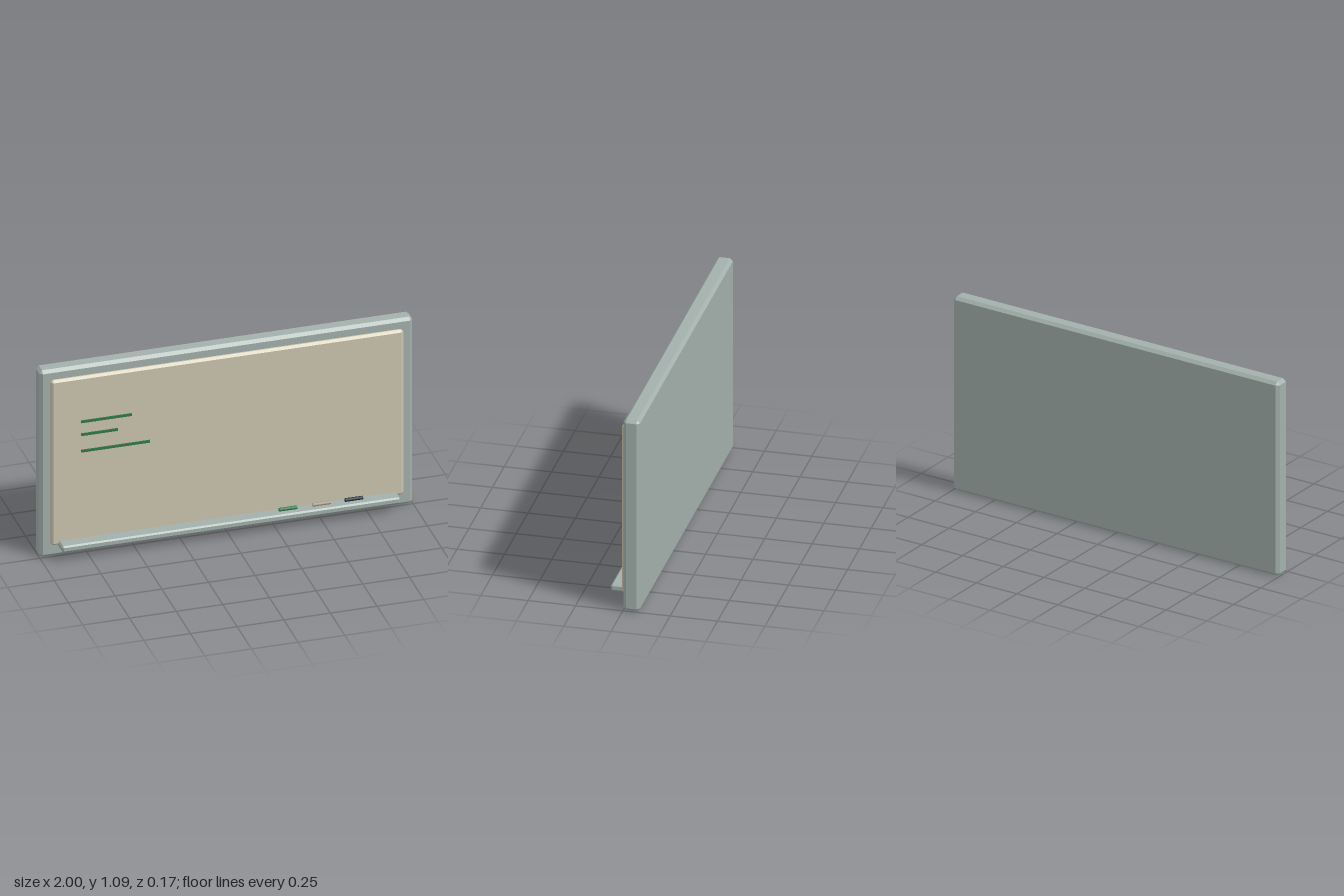
import * as THREE from 'three';
import { ConvexGeometry } from 'three/addons/geometries/ConvexGeometry.js';

// Box with every edge cut off at 45 degrees, given by its min and max corners
function chamferBox([x0, y0, z0], [x1, y1, z1], c) {
  const half = [(x1 - x0) / 2, (y1 - y0) / 2, (z1 - z0) / 2];
  const points = [];
  for (const sx of [-1, 1]) for (const sy of [-1, 1]) for (const sz of [-1, 1]) {
    for (let axis = 0; axis < 3; axis++) {
      // one point per face meeting at this corner
      const p = half.map((h, i) => (i === axis ? h : h - c));
      points.push(new THREE.Vector3(p[0] * sx, p[1] * sy, p[2] * sz));
    }
  }
  const geometry = new ConvexGeometry(points);
  geometry.translate((x0 + x1) / 2, (y0 + y1) / 2, (z0 + z1) / 2);
  return geometry;
}

export function createModel() {
  const group = new THREE.Group();
  const material = (name, color) => {
    const m = new THREE.MeshStandardMaterial({ color });
    m.name = name;
    return m;
  };
  const metal = material('greyMetal', 0xa3b0ac);
  const cream = material('creamSurface', 0xcbc4ae);
  const green = material('greenInk', 0x2f7a4b);
  const tan = material('tanMarker', 0xa89c84);
  const dark = material('darkMarker', 0x1f2a33);

  const add = (name, geometry, mat) => {
    const mesh = new THREE.Mesh(geometry, mat);
    mesh.name = name;
    group.add(mesh);
    return mesh;
  };

  // Frame, writing surface and tray
  add('frame', chamferBox([-1, 0, -0.087], [1, 1.085, 0], 0.016), metal);
  add('writingSurface', chamferBox([-0.945, 0.07, -0.015], [0.945, 1.03, 0.02], 0.012), cream);
  add('tray', chamferBox([-0.906, 0.059, -0.008], [0.906, 0.095, 0.087], 0.008), metal);

  // Written strokes, left-aligned
  [[0.27, 0.773], [0.195, 0.698], [0.368, 0.602]].forEach(([length, y], i) => {
    const stroke = add(`stroke${i + 1}`, new THREE.BoxGeometry(length, 0.014, 0.008), green);
    stroke.position.set(-0.785 + length / 2, y, 0.0225);
  });

  // Markers lying along the tray
  [['greenMarker', 0.312, green], ['tanMarker', 0.493, tan], ['darkMarker', 0.665, dark]].forEach(([name, x, mat]) => {
    const marker = add(name, new THREE.CylinderGeometry(0.0095, 0.0095, 0.096, 12), mat);
    marker.rotation.z = Math.PI / 2;
    marker.position.set(x, 0.111, 0.057);
  });

  return group;
}
